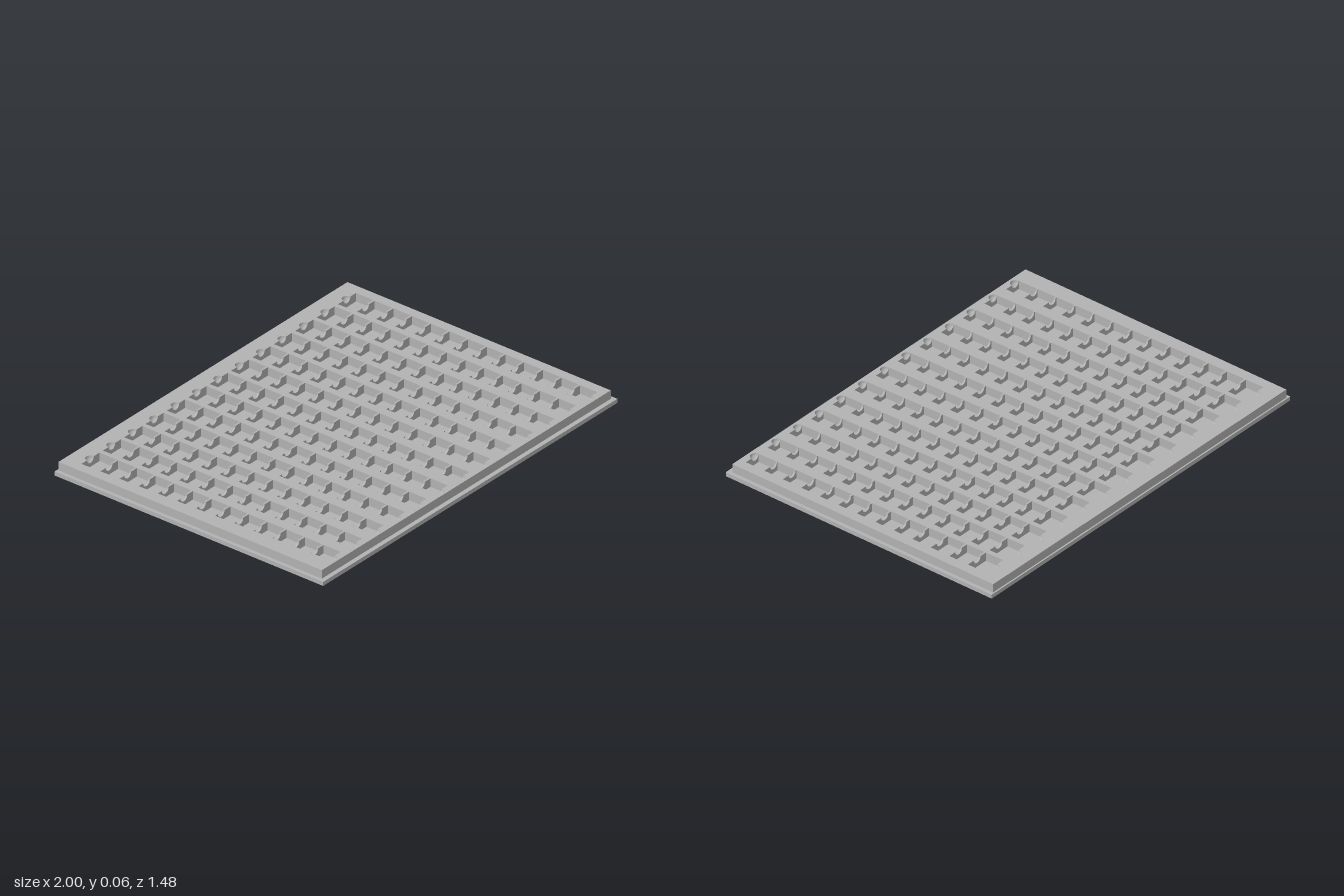
import * as THREE from 'three';

const COUNT = 13;                       // pockets each way
const PITCH_X = 0.1453, POCKET_W = 0.123;
const BACK = -0.648, FRONT = 0.685;     // ends of the pocket field
const WALL = 0.009, NOTCH = 0.023;
const FLOOR = 0.02, TOP = 0.062;
const PITCH_Z = (FRONT - BACK + WALL) / COUNT;

// Upright pocket wall outline with a half-round finger notch in its top edge
function wallShape() {
  const w = POCKET_W / 2, s = new THREE.Shape();
  s.moveTo(-w, FLOOR);
  s.lineTo(w, FLOOR);
  s.lineTo(w, TOP);
  s.lineTo(NOTCH, TOP);
  s.absarc(0, TOP, NOTCH, 0, -Math.PI, true);
  s.lineTo(-w, TOP);
  s.closePath();
  return s;
}

// Long slot for one column, with a half-round bump at each end (shape y is -z)
function slotPath(x) {
  const w = POCKET_W / 2, p = new THREE.Path();
  p.moveTo(x - w, -FRONT);
  p.absarc(x, -FRONT, NOTCH, Math.PI, 2 * Math.PI, false);
  p.lineTo(x + w, -FRONT);
  p.lineTo(x + w, -BACK);
  p.absarc(x, -BACK, NOTCH, 0, Math.PI, false);
  p.lineTo(x - w, -BACK);
  p.closePath();
  return p;
}

export function createModel() {
  const group = new THREE.Group();
  const grey = new THREE.MeshStandardMaterial({ color: 0xb2b2b2 });
  const add = (name, geometry, x = 0, y = 0, z = 0) => {
    const mesh = new THREE.Mesh(geometry, grey);
    mesh.name = name;
    mesh.position.set(x, y, z);
    group.add(mesh);
    return mesh;
  };

  // Base plate, which is also the pocket floor
  add('basePlate', new THREE.BoxGeometry(2, FLOOR, 1.484), 0, FLOOR / 2, 0);

  // Raised body with one slot per column
  const columns = Array.from({ length: COUNT }, (_, i) => (i - (COUNT - 1) / 2) * PITCH_X);
  const outline = new THREE.Shape();
  outline.moveTo(-0.982, -0.72);
  outline.lineTo(0.982, -0.72);
  outline.lineTo(0.982, 0.735);
  outline.lineTo(-0.982, 0.735);
  outline.closePath();
  outline.holes = columns.map(slotPath);
  const body = new THREE.ExtrudeGeometry(outline, { depth: TOP - FLOOR, bevelEnabled: false, curveSegments: 6 });
  body.rotateX(-Math.PI / 2);
  add('trayBody', body, 0, FLOOR, 0);

  // Shared shapes for dividers, end faces and rounded end scoops
  const divider = new THREE.ExtrudeGeometry(wallShape(), { depth: WALL, bevelEnabled: false, curveSegments: 6 });
  const endFace = new THREE.ShapeGeometry(wallShape(), 6);
  const scoop = new THREE.SphereGeometry(NOTCH, 12, 6, Math.PI, Math.PI, Math.PI / 2, Math.PI / 2);
  scoop.scale(-1, 1, 1);                // turn the surface inward
  scoop.computeVertexNormals();

  for (const x of columns) {
    for (let row = 1; row < COUNT; row++) {
      add('pocketDivider', divider, x, 0, BACK + row * PITCH_Z - WALL);
    }
    add('backEndFace', endFace, x, 0, BACK);
    add('backScoop', scoop, x, TOP, BACK);
    add('frontEndFace', endFace, x, 0, FRONT).rotation.y = Math.PI;
    add('frontScoop', scoop, x, TOP, FRONT).rotation.y = Math.PI;
  }
  return group;
}
